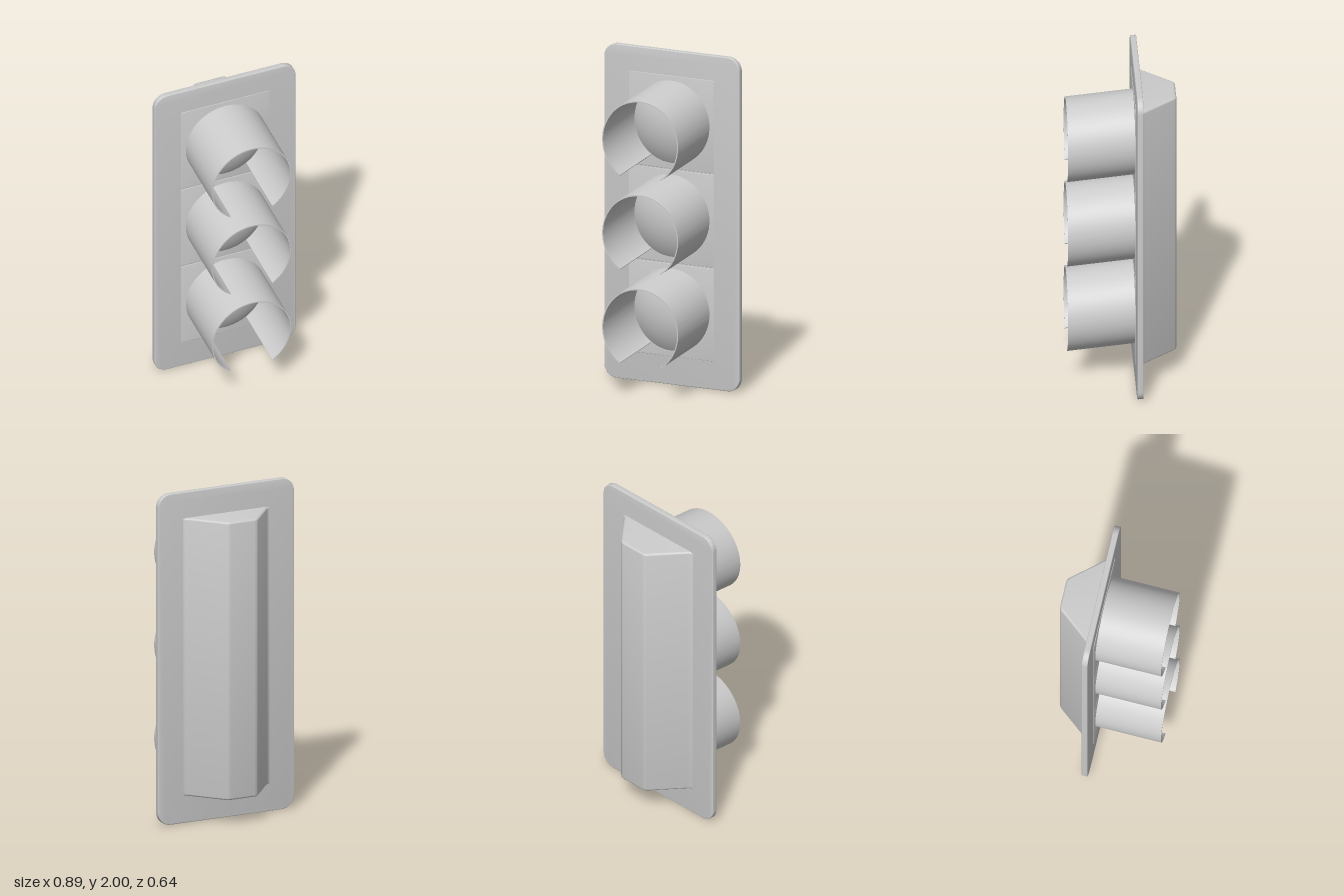
import * as THREE from 'three';
import { toCreasedNormals } from 'three/addons/utils/BufferGeometryUtils.js';

const grey = new THREE.MeshStandardMaterial({ color: 0xcccccc });

function part(name, geometry, parent) {
  const mesh = new THREE.Mesh(geometry, grey);
  mesh.name = name;
  parent.add(mesh);
  return mesh;
}

function roundedRect(w, h, r) {
  const s = new THREE.Shape();
  s.absarc(w / 2 - r, h / 2 - r, r, 0, Math.PI / 2);
  s.absarc(-w / 2 + r, h / 2 - r, r, Math.PI / 2, Math.PI);
  s.absarc(-w / 2 + r, -h / 2 + r, r, Math.PI, Math.PI * 1.5);
  s.absarc(w / 2 - r, -h / 2 + r, r, Math.PI * 1.5, Math.PI * 2);
  s.closePath();
  return s;
}

// Extrusion from z = 0 to depth, with a small rounded edge kept inside the outline
function extrude(shape, depth, bevel, segments = 10) {
  const g = new THREE.ExtrudeGeometry(shape, {
    depth: depth - 2 * bevel, curveSegments: segments, bevelEnabled: bevel > 0,
    bevelSize: bevel, bevelThickness: bevel, bevelOffset: -bevel, bevelSegments: 3,
  });
  g.translate(0, 0, bevel);
  return toCreasedNormals(g, 0.6);
}

// Hood: ring open at the bottom, sloping down toward the front
function hoodGeometry(outer, inner, length, drop) {
  const gap = 0.57;
  const a = -Math.PI / 2 + gap, b = Math.PI * 1.5 - gap;
  const s = new THREE.Shape();
  s.absarc(0, 0, outer, a, b, false);
  s.absarc(0, 0, inner, b, a, true);
  s.closePath();
  const g = new THREE.ExtrudeGeometry(s, { depth: length, curveSegments: 56, bevelEnabled: false });
  g.applyMatrix4(new THREE.Matrix4().set(
    1, 0, 0, 0,
    0, 1, -drop / length, 0,
    0, 0, 1, 0,
    0, 0, 0, 1));
  return toCreasedNormals(g, 0.6);
}

// Shallow domed lens, facing +z
function lensGeometry(radius, height) {
  const sphere = (radius * radius + height * height) / (2 * height);
  const g = new THREE.SphereGeometry(sphere, 56, 12, 0, Math.PI * 2, 0, Math.asin(radius / sphere));
  g.translate(0, height - sphere, 0);
  g.rotateX(Math.PI / 2);
  return g;
}

export function createModel() {
  const model = new THREE.Group();
  model.name = 'signalLight';

  // Mounting plate
  part('backPlate', extrude(roundedRect(0.89, 2, 0.08), 0.035, 0.004), model)
    .position.set(0, 1, -0.11);

  // Tapered rear housing with softened corners and a small flare at the plate
  const s = new THREE.Shape();
  s.moveTo(-0.285, 0.09);
  s.lineTo(-0.285, 0.111);
  s.quadraticCurveTo(-0.27, 0.113, -0.258, 0.127);
  s.lineTo(-0.11, 0.303);
  s.quadraticCurveTo(-0.096, 0.32, -0.078, 0.32);
  s.lineTo(0.078, 0.32);
  s.quadraticCurveTo(0.096, 0.32, 0.11, 0.303);
  s.lineTo(0.258, 0.127);
  s.quadraticCurveTo(0.27, 0.113, 0.285, 0.111);
  s.lineTo(0.285, 0.09);
  s.closePath();
  const housing = extrude(s, 1.68, 0.012, 6);
  housing.rotateX(-Math.PI / 2);
  part('rearHousing', housing, model).position.y = 0.163;

  // Three lamps, each with a raised panel, a lens and a hood
  const hood = hoodGeometry(0.25, 0.243, 0.397, 0.042);
  const lens = lensGeometry(0.246, 0.075);
  const panel = extrude(roundedRect(0.56, 0.556, 0.008), 0.008, 0.002, 3);
  ['lower', 'middle', 'upper'].forEach((place, i) => {
    const lamp = new THREE.Group();
    lamp.name = place + 'Lamp';
    lamp.position.set(0, 0.447 + i * 0.5625, -0.077);
    part(place + 'Panel', panel, lamp).position.z = -0.003;
    part(place + 'Lens', lens, lamp).position.z = 0.003;
    part(place + 'Hood', hood, lamp);
    model.add(lamp);
  });
  return model;
}
